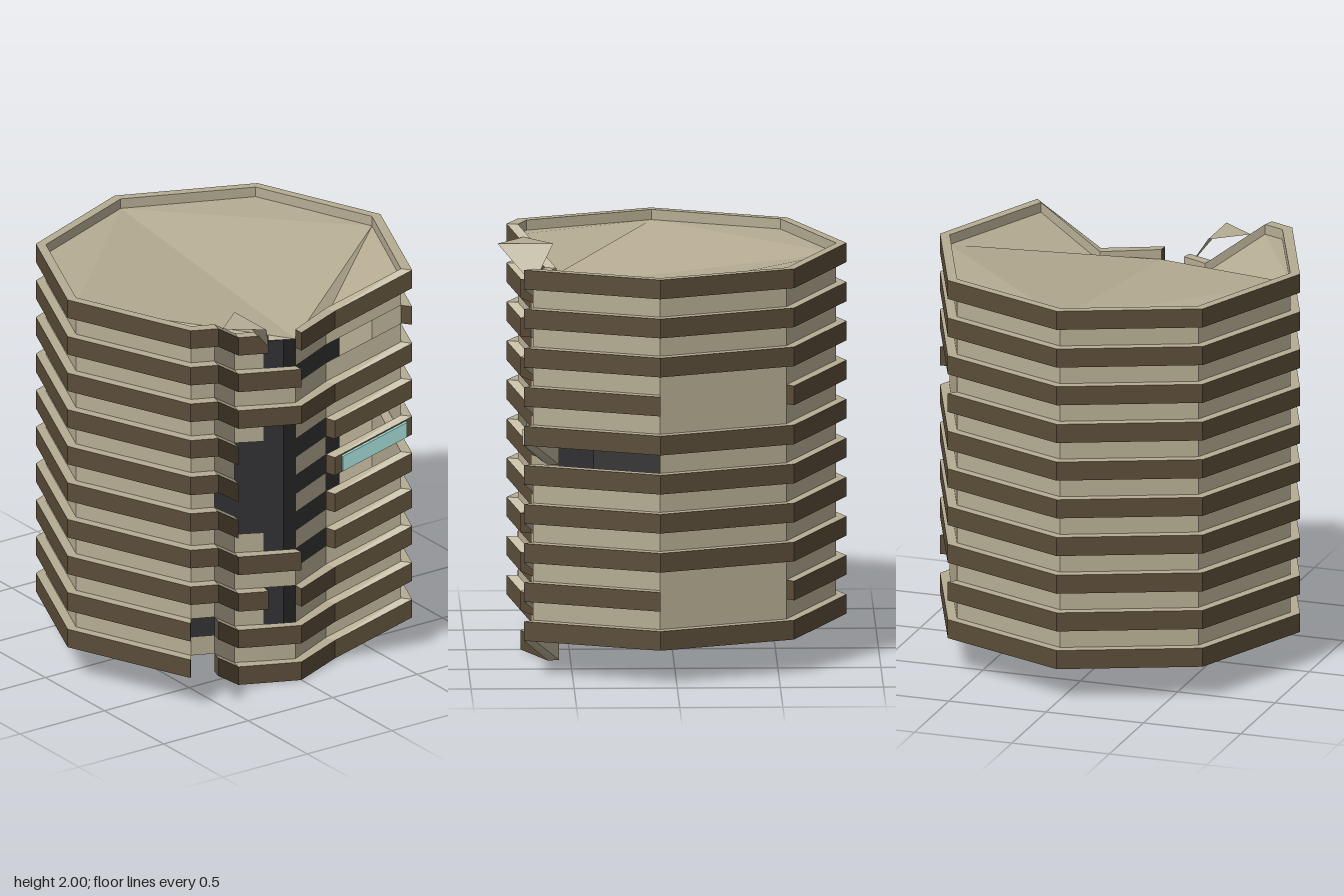
import * as THREE from 'three';

const mat = (color) => new THREE.MeshStandardMaterial({ color, flatShading: true, side: THREE.DoubleSide });
const PITCH = 0.1928, BAND = 0.095, BASE = 0.17, LEVELS = 10, DIP = -0.17;

// Plan of the tower: outer x, outer z, inner x, inner z, height offset.
// Runs from the front point round the model's left side, back and right side.
const PLAN = [
  [0, 0.735, 0, 0.685, DIP], [0.285, 0.61, 0.27, 0.555, DIP], [0.655, 0.735, 0.62, 0.69, 0],
  [0.925, 0.08, 0.875, 0.08, 0], [0.655, -0.575, 0.62, -0.54, 0], [0, -0.845, 0, -0.795, 0],
  [-0.655, -0.575, -0.62, -0.54, 0], [-0.925, 0.08, -0.875, 0.08, 0], [-0.655, 0.735, -0.62, 0.69, 0],
  [-0.53, 0.79, -0.515, 0.735, 0], [-0.285, 0.61, -0.27, 0.555, DIP], [-0.15, 0.67, -0.14, 0.62, DIP],
];

// Broken-away levels for each plan segment
const MISSING_BANDS = { 0: [3, 4, 5, 6, 8], 1: [8], 3: [1, 6], 8: [0, 1], 10: [4, 5, 6], 11: [2, 4, 5, 6, 9] };
const MISSING_WALLS = { 1: [4, 5], 2: [4], 9: [4], 10: [4, 5], 11: [1, 3, 4, 5, 6, 8] };
const has = (table, seg, level) => !(table[seg] || []).includes(level);

const outer = (n, y) => [n[0], y + n[4], n[1]];
const inner = (n, y) => [n[2], y + n[4], n[3]];

function quad(out, a, b, c, d) {
  out.push(...a, ...b, ...c, ...a, ...c, ...d);
}

function mesh(name, points, material) {
  const geometry = new THREE.BufferGeometry();
  geometry.setAttribute('position', new THREE.Float32BufferAttribute(points, 3));
  geometry.computeVertexNormals();
  const m = new THREE.Mesh(geometry, material);
  m.name = name;
  return m;
}

export function createModel() {
  const group = new THREE.Group();
  group.name = 'tower';
  const stone = mat(0xb5ac92), brown = mat(0x5a4c38), dark = mat(0x333335), teal = mat(0x9fd5d0);

  // Stacked bands: brown faces, pale ledges, recessed pale walls between
  for (let k = 0; k < LEVELS; k++) {
    const y0 = BASE + k * PITCH, y1 = y0 + BAND, y2 = y0 + PITCH;
    const faces = [], ledges = [], walls = [];
    PLAN.forEach((a, i) => {
      const b = PLAN[(i + 1) % PLAN.length];
      if (has(MISSING_BANDS, i, k)) {
        quad(faces, outer(a, y0), outer(b, y0), outer(b, y1), outer(a, y1));
        quad(ledges, outer(a, y1), outer(b, y1), inner(b, y1), inner(a, y1));
        quad(ledges, inner(a, y0), inner(b, y0), outer(b, y0), outer(a, y0));
        quad(ledges, inner(b, y0), inner(a, y0), inner(a, y1), inner(b, y1));
        // Caps where a neighbouring piece is broken away
        const n = PLAN.length;
        if (!has(MISSING_BANDS, (i + n - 1) % n, k)) quad(faces, inner(a, y0), outer(a, y0), outer(a, y1), inner(a, y1));
        if (!has(MISSING_BANDS, (i + 1) % n, k)) quad(faces, outer(b, y0), inner(b, y0), inner(b, y1), outer(b, y1));
      } else if (i === 3) {
        // Bare wall left behind the lost back bands
        quad(walls, inner(a, y0), inner(b, y0), inner(b, y1), inner(a, y1));
      }
      if (k < LEVELS - 1 && has(MISSING_WALLS, i, k)) {
        quad(walls, inner(a, y1), inner(b, y1), inner(b, y2), inner(a, y2));
      }
    });
    group.add(mesh('bandFace', faces, brown), mesh('bandLedge', ledges, stone));
    if (walls.length) group.add(mesh('recessedWall', walls, stone));
  }

  // Sagging roof inside the rim
  const roof = [];
  const r = PLAN.map((n) => inner(n, 1.95));
  [[5, 3, 4], [5, 6, 7], [5, 7, 0], [5, 0, 3], [3, 0, 1], [3, 1, 2], [7, 10, 0], [7, 9, 10], [7, 8, 9]]
    .forEach((t) => t.forEach((i) => roof.push(...r[i])));
  group.add(mesh('roof', roof, stone));

  // Bent slab at the broken front edge of the roof
  const tip = [-0.28, 1.95, 0.84], back = [-0.28, 1.95, 0.57];
  const side = [-0.45, 1.95, 0.71], low = [-0.15, 1.77, 0.67];
  group.add(mesh('bentSlab', [...back, ...side, ...tip, ...back, ...tip, ...low], stone));

  // Dark octagonal core
  const core = new THREE.Mesh(new THREE.CylinderGeometry(0.655, 0.655, 1.54, 8), dark);
  core.position.set(0, 0.97, -0.07);
  core.name = 'core';
  group.add(core);

  // Blank sign plate fixed to the sloping front band
  const a = PLAN[1], b = PLAN[2], signY = BASE + 5 * PITCH;
  const onBand = (t, dy, out) => [
    a[0] + (b[0] - a[0]) * t - 0.32 * out,
    signY + a[4] * (1 - t) + dy,
    a[1] + (b[1] - a[1]) * t + 0.95 * out,
  ];
  const loop = (out) => [onBand(0.09, 0.01, out), onBand(0.92, 0.01, out), onBand(0.92, 0.088, out), onBand(0.09, 0.088, out)];
  const plate = [], p = loop(0.018), q = loop(0);
  quad(plate, ...p);
  for (let i = 0; i < 4; i++) {
    const j = (i + 1) % 4;
    quad(plate, q[i], q[j], p[j], p[i]);
  }
  group.add(mesh('signPlate', plate, teal));

  return group;
}
